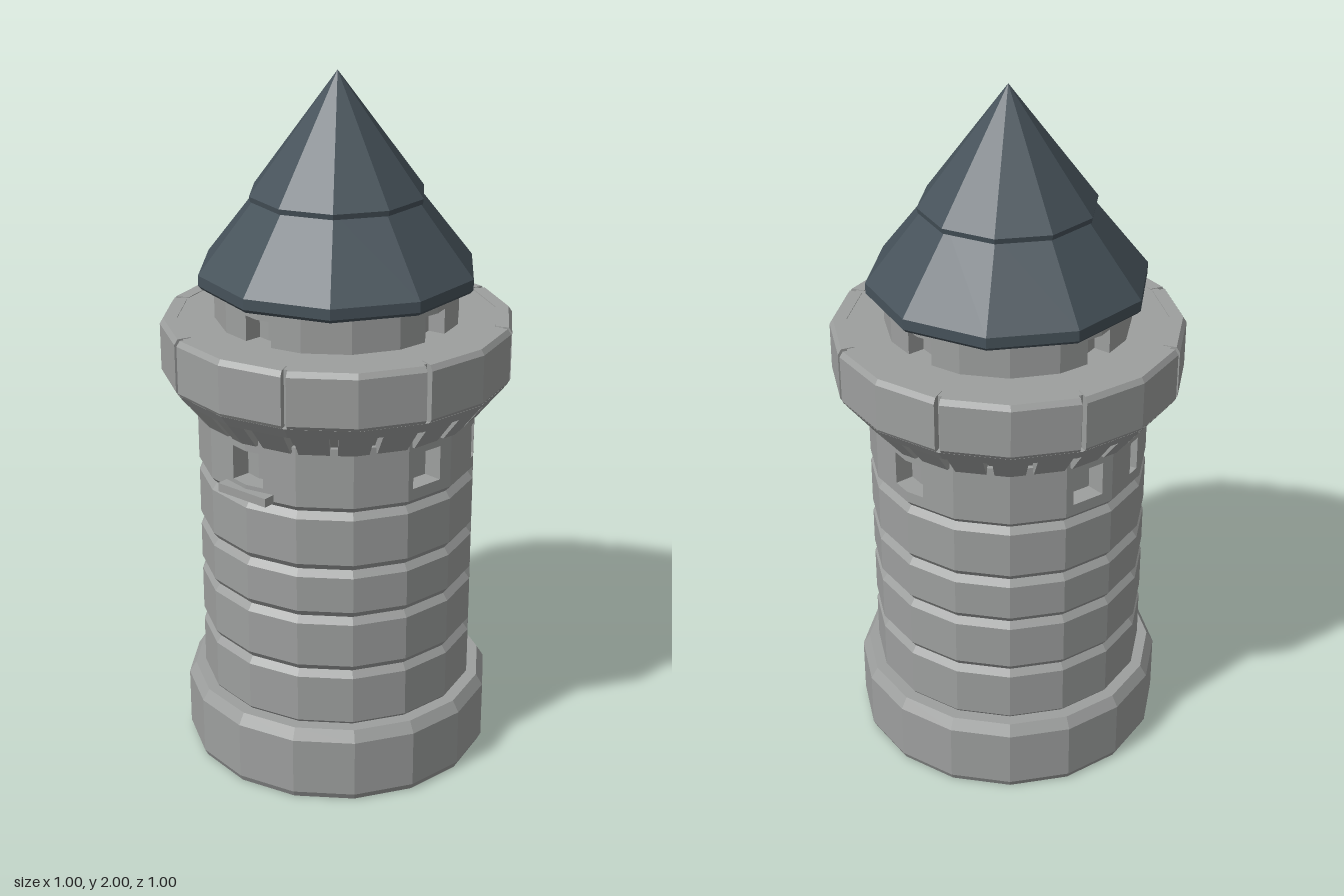
import * as THREE from 'three';

const SIDES = 16;
const stone = new THREE.MeshStandardMaterial({ color: 0x9d9f9e });
const slate = new THREE.MeshStandardMaterial({ color: 0x46525a });
stone.name = 'grey stone';
slate.name = 'dark slate';
const rad = THREE.MathUtils.degToRad;

function faceted(geo) {
  const g = geo.index ? geo.toNonIndexed() : geo;
  g.computeVertexNormals();
  return g;
}

function add(group, name, geo, material = stone) {
  const mesh = new THREE.Mesh(faceted(geo), material);
  mesh.name = name;
  group.add(mesh);
  return mesh;
}

// Solid turned from [radius, height] pairs, listed bottom to top
const turned = (profile, sides = SIDES) =>
  new THREE.LatheGeometry(profile.map(([r, y]) => new THREE.Vector2(r, y)), sides);

// Wall block between angles a0 and a1 following the 16-sided plan; convex
// profile runs inner bottom, outer bottom, outer top, inner top
function arcBlock(profile, a0, a1) {
  const step = (Math.PI * 2) / SIDES;
  const angles = [a0];
  for (let k = Math.floor(a0 / step) + 1; k * step < a1 - 1e-4; k++) {
    if (k * step > a0 + 1e-4) angles.push(k * step);
  }
  angles.push(a1);
  const pos = [], index = [], n = profile.length;
  for (const a of angles) {
    const local = a - Math.floor(a / step) * step - step / 2;
    const fit = Math.cos(step / 2) / Math.cos(local);
    for (const [r, y] of profile) pos.push(r * fit * Math.sin(a), y, r * fit * Math.cos(a));
  }
  const last = (angles.length - 1) * n;
  for (let i = 0; i < last; i += n) {
    for (let j = 0; j < n; j++) {
      const k = (j + 1) % n;
      index.push(i + j, i + n + j, i + n + k, i + j, i + n + k, i + k);
    }
  }
  for (let j = 1; j < n - 1; j++) {
    index.push(0, j, j + 1, last, last + j + 1, last + j);
  }
  const g = new THREE.BufferGeometry();
  g.setAttribute('position', new THREE.Float32BufferAttribute(pos, 3));
  g.setIndex(index);
  return g;
}

// Blocks filling the ring between openings, given as [centre degrees, width]
function piers(group, name, profile, openings) {
  const r = profile[1][0];
  openings.forEach(([deg, width], i) => {
    const next = openings[(i + 1) % openings.length];
    const end = next[0] + (i === openings.length - 1 ? 360 : 0);
    add(group, name, arcBlock(profile, rad(deg) + width / 2 / r, rad(end) - next[1] / 2 / r));
  });
}

const every = (count, offset, width) =>
  Array.from({ length: count }, (_, i) => [offset + (i * 360) / count, width]);

export function createModel() {
  const tower = new THREE.Group();
  tower.name = 'tower';

  // Plinth
  add(tower, 'plinth', turned([
    [0, 0], [0.44, 0], [0.45, 0.02], [0.45, 0.19], [0.43, 0.222], [0, 0.222],
  ]));

  // Stone courses with bevelled joints
  const joints = [0.21, 0.39, 0.56, 0.705, 0.88];
  for (let i = 0; i < joints.length - 1; i++) {
    const a = joints[i], b = joints[i + 1];
    add(tower, 'stoneCourse', turned([
      [0, a], [0.385, a], [0.4, a + 0.02], [0.4, b - 0.02], [0.385, b], [0, b],
    ]));
  }

  // Window course: sill, piers, lintel and recessed core
  add(tower, 'windowSillCourse', turned([[0, 0.88], [0.385, 0.88], [0.4, 0.897], [0.4, 0.93], [0, 0.93]]));
  add(tower, 'windowCore', turned([[0.345, 0.92], [0.345, 1.04]]));
  piers(tower, 'windowPier', [[0.34, 0.93], [0.4, 0.93], [0.4, 1.03], [0.34, 1.03]], [
    [0, 0.11], [77, 0.1], [113, 0.04], [180, 0.11], [258, 0.1], [287, 0.04],
  ]);
  add(tower, 'windowLintelCourse', turned([[0, 1.03], [0.4, 1.03], [0.4, 1.07], [0, 1.07]]));
  add(tower, 'frontLedge', new THREE.BoxGeometry(0.17, 0.025, 0.06)).position.set(0, 0.905, 0.388);

  // Flared corbel with slits
  add(tower, 'corbelCore', turned([[0, 1.055], [0.375, 1.055], [0.435, 1.13]]));
  piers(tower, 'corbel', [[0.365, 1.055], [0.41, 1.055], [0.465, 1.125], [0.42, 1.125]],
    every(24, 7.5, 0.022));
  add(tower, 'corbelBand', turned([[0.38, 1.125], [0.465, 1.125], [0.492, 1.16], [0.38, 1.16]]));

  // Gallery of eight slabs split by grooves
  add(tower, 'galleryCore', turned([[0, 1.15], [0.472, 1.15], [0.472, 1.318], [0, 1.318]]));
  piers(tower, 'gallerySlab', [
    [0.45, 1.155], [0.488, 1.155], [0.498, 1.17], [0.498, 1.305], [0.488, 1.32], [0.45, 1.32],
  ], every(8, 22.5, 0.014));

  // Upper drum with four windows
  add(tower, 'drumCore', turned([[0.295, 1.3], [0.295, 1.44]]));
  piers(tower, 'drumPier', [[0.29, 1.3], [0.345, 1.3], [0.345, 1.39], [0.29, 1.39]],
    every(4, 0, 0.09));
  add(tower, 'drumLintel', turned([[0.28, 1.39], [0.345, 1.39], [0.345, 1.44], [0.28, 1.44]]));

  // Two-tier ten-sided roof
  add(tower, 'lowerRoof', turned([
    [0, 1.42], [0.385, 1.42], [0.394, 1.43], [0.394, 1.46], [0.228, 1.67], [0, 1.67],
  ], 10), slate);
  add(tower, 'upperRoof', turned([[0, 1.655], [0.245, 1.655], [0.248, 1.67], [0, 2]], 10), slate);

  return tower;
}
